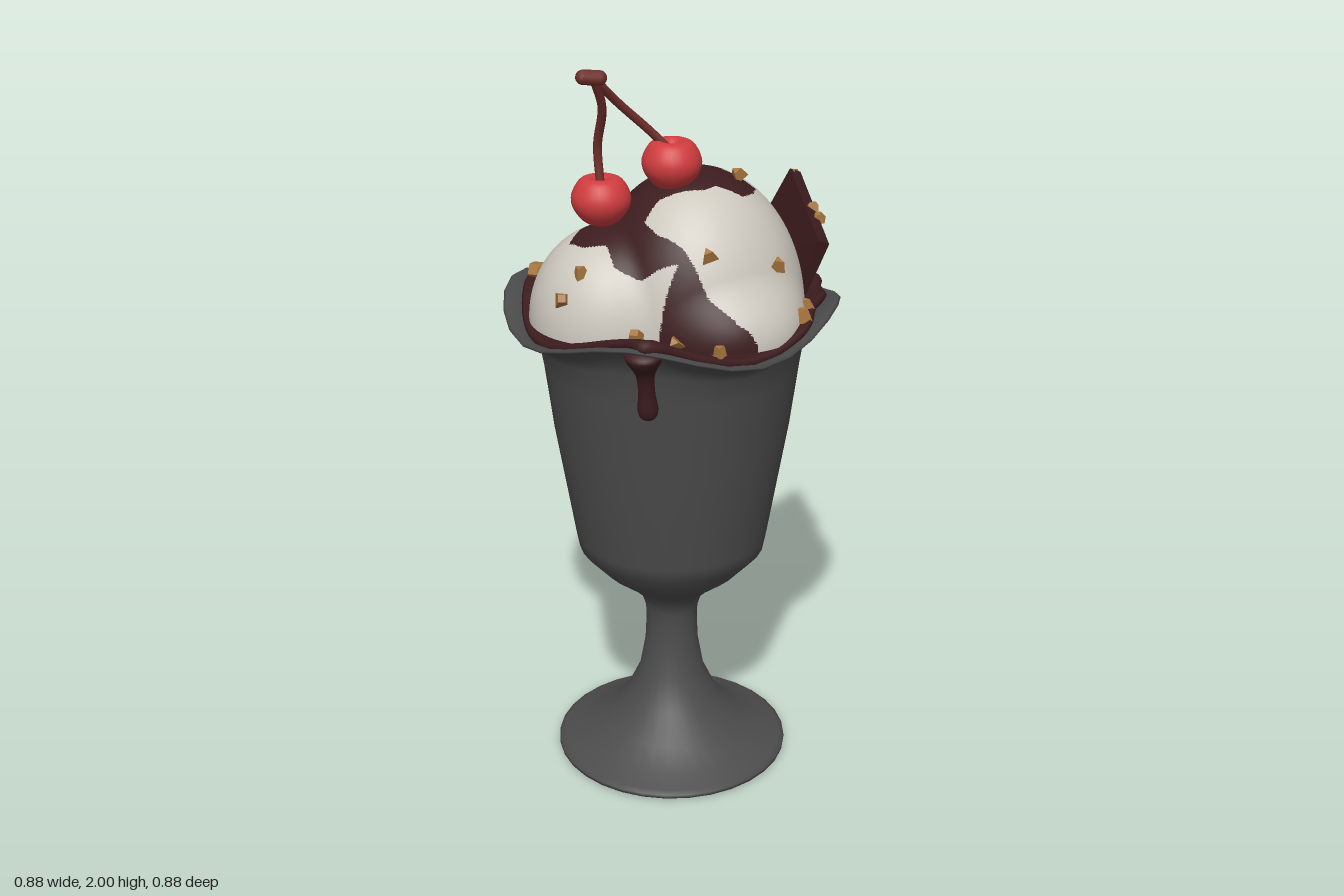
import * as THREE from 'three';
import { mergeVertices } from 'three/addons/utils/BufferGeometryUtils.js';
import { ConvexGeometry } from 'three/addons/geometries/ConvexGeometry.js';

const V = (x, y, z) => new THREE.Vector3(x, y, z);
const { smoothstep, lerp } = THREE.MathUtils;
const mat = (name, color, opts = {}) => {
  const m = new THREE.MeshStandardMaterial({ color, ...opts });
  m.name = name;
  return m;
};

// Four soft waves around the rim, highest at front, back and sides
const wave = (x, z) => 0.031 * Math.cos(4 * Math.atan2(z, x));

// Top of the sauce pool: level in the middle, following the rim outside
const poolY = (x, z) => {
  const R = Math.hypot(x, z);
  const edge = 1.349 + Math.min(0.02, (R - 0.375) * 0.5) + wave(x, z);
  return lerp(1.35, edge, smoothstep(R, 0.22, 0.38));
};

// Scoops as half ellipsoids, main, left, back and right: centre x, z, radius, height
const SCOOP_Y = 1.33;
const SCOOPS = [
  [0.065, 0.01, 0.285, 0.38],
  [-0.13, 0.115, 0.213, 0.245],
  [-0.07, -0.155, 0.213, 0.17],
  [0.16, 0.1, 0.21, 0.17],
];
const surfaceY = (x, z) => Math.max(poolY(x, z), ...SCOOPS.map(([cx, cz, r, h]) =>
  SCOOP_Y + h * Math.sqrt(Math.max(0, 1 - ((x - cx) ** 2 + (z - cz) ** 2) / (r * r)))));

// Distance from the dome centre to the blended surface of all scoops
function domeRadius(d) {
  const smoothMax = (a, b) => Math.max(a, b) + Math.max(0, 0.04 - Math.abs(a - b)) ** 2 / 0.16;
  return SCOOPS.map(([cx, cz, r, h]) => {
    const a = (d.x * d.x + d.z * d.z) / (r * r) + (d.y * d.y) / (h * h);
    const b = -(d.x * cx + d.z * cz) / (r * r);
    const c = (cx * cx + cz * cz) / (r * r) - 1;
    return (-b + Math.sqrt(b * b - a * c)) / a;
  }).reduce(smoothMax);
}

// Bare ice cream areas seen from above, as x, z pairs; sauce covers the rest
const backPatch = [-.17, -.32, -.14, -.4, 0, -.4, .06, -.36, .09, -.29, .11, -.258, .04, -.254, -.05, -.262,
  -.09, -.28, -.17, -.27, -.175, -.2, -.2, -.14, -.25, -.135, -.31, -.16, -.3, -.25, -.22, -.32];
const topPatch = [-.11, -.15, -.08, -.195, -.01, -.222, .07, -.232, .15, -.222, .22, -.19, .33, -.14, .3, -.06,
  .19, -.035, .12, -.04, .12, -.095, .17, -.125, .07, -.11, .04, -.095, -.02, -.125, -.08, -.135];
const rightPatch = [.21, -.05, .3, -.08, .4, -.04, .42, .07, .4, .2, .33, .26, .24, .275, .16, .265,
  .085, .23, .015, .21, -.025, .18, 0, .14, .11, .105, .13, .08, .2, .06, .215, .01];
const leftPatch = [-.3, -.12, -.22, -.11, -.2, -.08, -.19, .05, -.21, .105, -.22, .18, -.175, .21, -.115, .205,
  -.085, .25, -.01, .26, .08, .25, .04, .3, -.08, .35, -.2, .37, -.32, .3, -.39, .17, -.39, .06, -.38, -.04];
const smallPatch = [-.175, -.08, -.13, -.1, -.1, -.06, -.105, .025, -.15, .025, -.185, -.02];
const PATCHES = [backPatch, topPatch, rightPatch, leftPatch, smallPatch];

function inPolygon(p, x, z) {
  let inside = false;
  for (let i = 0, j = p.length - 2; i < p.length; j = i, i += 2) {
    if ((p[i + 1] > z) !== (p[j + 1] > z) &&
      x < ((p[j] - p[i]) * (z - p[i + 1])) / (p[j + 1] - p[i + 1]) + p[i]) inside = !inside;
  }
  return inside;
}

// Merges shared points so that smooth normals have no seam
function weld(g) {
  g.deleteAttribute('uv');
  g.deleteAttribute('normal');
  return mergeVertices(g, 1e-4);
}

function domeGeometry() {
  const g = weld(new THREE.SphereGeometry(1, 260, 120, 0, Math.PI * 2, 0, Math.PI / 2));
  const pos = g.attributes.position, idx = g.index.array, white = [], sauce = [], d = V();
  for (let i = 0; i < pos.count; i++) {
    d.fromBufferAttribute(pos, i).normalize();
    d.multiplyScalar(domeRadius(d));
    pos.setXYZ(i, d.x, d.y + SCOOP_Y, d.z);
  }
  for (let i = 0; i < idx.length; i += 3) {
    const t = [idx[i], idx[i + 1], idx[i + 2]];
    const x = t.reduce((s, k) => s + pos.getX(k), 0) / 3;
    const z = t.reduce((s, k) => s + pos.getZ(k), 0) / 3;
    (PATCHES.some((p) => inPolygon(p, x, z)) ? white : sauce).push(...t);
  }
  g.setIndex([...white, ...sauce]);
  g.addGroup(0, white.length, 0);
  g.addGroup(white.length, sauce.length, 1);
  g.computeVertexNormals();
  return g;
}

function glassGeometry() {
  const profile = [[0, 0], [.31, 0], [.323, .006], [.323, .016], [.31, .024], [.265, .041], [.19, .085], [.13, .155],
    [.09, .24], [.074, .33], [.071, .39], [.072, .44], [.085, .48], [.12, .515], [.19, .57], [.254, .64], [.262, .68],
    [.285, .82], [.315, 1.0], [.338, 1.18], [.352, 1.26], [.372, 1.295], [.405, 1.32], [.436, 1.334], [.44, 1.34],
    [.434, 1.346], [.4, 1.334], [.362, 1.31], [.338, 1.26], [.32, 1.15], [.295, .98], [.242, .66], [.18, .59], [0, .54]];
  const g = weld(new THREE.LatheGeometry(profile.map(([x, y]) => new THREE.Vector2(x, y)), 32));
  const p = g.attributes.position;
  for (let i = 0; i < p.count; i++) {
    const t = smoothstep(p.getY(i), 1.2, 1.335);
    p.setY(i, p.getY(i) + t * wave(p.getX(i), p.getZ(i)));
  }
  g.computeVertexNormals();
  return g;
}

// Sauce pool: rings scaled from an uneven outline that lies on the rim
function poolGeometry() {
  const outline = [-.32, -.3, -.22, -.36, -.08, -.38, .11, -.39, .25, -.355, .33, -.345, .35, -.26, .395, -.08, .385, .01,
    .39, .14, .32, .25, .2, .345, .12, .38, .04, .44, -.02, .4, -.12, .365, -.27, .3, -.35, .18, -.4, -.01, -.39, -.08, -.34, -.2];
  const pts = [];
  for (let i = 0; i < outline.length; i += 2) pts.push(V(outline[i], 0, outline[i + 1]));
  const N = 120;
  const loop = new THREE.CatmullRomCurve3(pts, true).getPoints(N).slice(0, N);
  const rings = [[.01, 0], [.55, 0], [.7, 0], [.8, 0], [.88, 0], [.94, -.002], [.985, -.01], [1, -.022], [.985, -.031], [.94, -.034]];
  const verts = [], idx = [];
  rings.forEach(([f, dy], k) => loop.forEach((p, j) => {
    verts.push(p.x * f, poolY(p.x * f, p.z * f) + dy, p.z * f);
    if (k === rings.length - 1) return;
    const a = k * N + j, b = k * N + (j + 1) % N;
    idx.push(a, b + N, a + N, a, b, b + N);
  }));
  const g = new THREE.BufferGeometry();
  g.setAttribute('position', new THREE.Float32BufferAttribute(verts, 3));
  g.setIndex(idx);
  g.computeVertexNormals();
  return g;
}

const lathe = (pts, seg) => new THREE.LatheGeometry(
  new THREE.SplineCurve(pts.map(([x, y]) => new THREE.Vector2(x, y))).getPoints(28)
    .map((p) => new THREE.Vector2(Math.max(0, p.x), p.y)), seg);

export function createModel() {
  const group = new THREE.Group();
  const cream = mat('ice cream', 0xcdc8be), sauce = mat('chocolate sauce', 0x3d1d1f);
  const red = mat('cherry red', 0xd03c3e), stemBrown = mat('cherry stem', 0x702e2a);
  const nut = mat('nut', 0xa8763f, { flatShading: true });
  const add = (name, geometry, material, parent = group) => {
    const m = new THREE.Mesh(geometry, material);
    m.name = name;
    parent.add(m);
    return m;
  };

  add('glass', glassGeometry(), mat('dark glass', 0x4c4c4c));
  add('saucePool', poolGeometry(), sauce);
  add('iceCreamScoops', domeGeometry(), [cream, sauce]);

  // Drip running over the front of the rim and down the glass
  const drip = add('sauceDrip', lathe([[0, 0], [.02, .01], [.026, .035], [.021, .085], [.025, .14],
    [.046, .185], [.044, .205], [0, .22]], 20), sauce);
  drip.position.set(0.028, 1.155, 0.345);
  drip.rotation.x = 0.22;

  // Chocolate slab with a sloping top edge, leaning outward at the back left
  const outer = [V(.275, 1.62, -.315), V(.4, 1.51, -.065), V(.33, 1.33, -.06), V(.13, 1.33, -.315)];
  const inward = V(-.026, .012, .014);
  add('chocolateSlab', new ConvexGeometry([...outer, ...outer.map((p) => p.clone().add(inward))]), mat('chocolate slab', 0x38191a));

  // Cherries with a dimple, and stems that meet in one nub
  const cherries = new THREE.Group();
  cherries.name = 'cherries';
  group.add(cherries);
  const cherryShape = lathe([[0, -.064], [.04, -.055], [.07, -.02], [.075, .015], [.055, .052], [.03, .06], [.012, .046], [0, .036]], 28);
  const joint = V(-.14, 1.975, .21);
  const pairs = [
    [V(-.15, 1.645, .13), V(-.16, 1.78, .12), V(-.135, 1.89, .16)],
    [V(.018, 1.735, .07), V(-.035, 1.82, .085), V(-.1, 1.9, .14)],
  ];
  for (const [c, m1, m2] of pairs) {
    add('cherry', cherryShape, red, cherries).position.copy(c);
    const path = new THREE.CatmullRomCurve3([c.clone().add(V(0, .03, 0)), m1, m2, joint]);
    add('cherryStem', new THREE.TubeGeometry(path, 24, 0.0115, 8), stemBrown, cherries);
  }
  const nub = add('stemNub', new THREE.CapsuleGeometry(0.019, 0.04, 4, 10), stemBrown, cherries);
  nub.position.set(-.146, 1.977, .212);
  nub.rotation.set(0, 0.5, Math.PI / 2 - 0.1);

  // Nut pieces scattered over scoops, sauce and slab edge
  let seed = 7;
  const rand = () => (seed = (seed * 16807) % 2147483647) / 2147483647;
  const nuts = new THREE.Group();
  nuts.name = 'nuts';
  group.add(nuts);
  const spots = [[-.235, -.235], [-.15, -.32], [-.01, -.27], [.07, -.213], [-.187, -.08], [-.325, .07], [.168, -.015],
    [.36, .04], [.365, .108], [.3, .112], [.15, .228], [.2, .312], [.09, .325], [-.005, .348], [-.205, .297], [-.166, .272]];
  const addNut = (x, y, z, s) => {
    const n = add('nutPiece', new THREE.CylinderGeometry(0.012 * s, 0.023 * s, 0.026 * s, rand() < 0.6 ? 3 : 4), nut, nuts);
    n.position.set(x, y, z);
    n.rotation.set(rand() * 1.2 - 0.2, rand() * 6.28, rand() - 0.5);
  };
  for (const [x, z] of spots) addNut(x, surfaceY(x, z) + 0.011, z, 1 + rand() * 0.3);
  addNut(-.37, poolY(-.37, -.01) + 0.012, -.01, 1.7);
  addNut(.335, 1.565, -.185, 1.1);
  addNut(.355, 1.55, -.155, 0.9);
  addNut(.26, 1.615, -.305, 0.9);

  return group;
}
